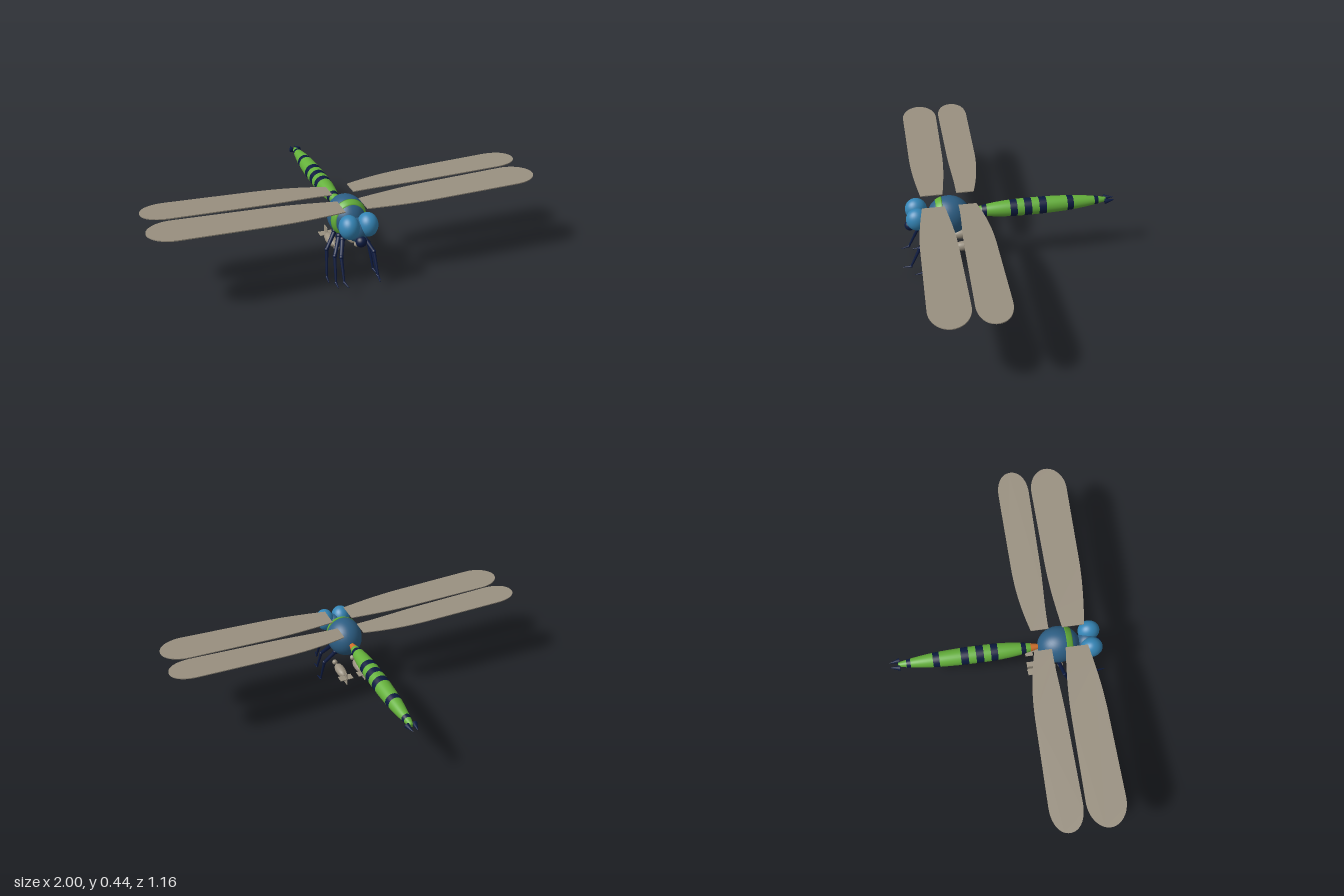
import * as THREE from 'three';

const mat = (name, color) => {
  const m = new THREE.MeshStandardMaterial({ color });
  m.name = name;
  return m;
};

export function createModel() {
  const model = new THREE.Group();
  model.name = 'dragonfly';
  const blue = mat('body blue', 0x2d5f85);
  const eyeBlue = mat('eye blue', 0x3484b4);
  const green = mat('band green', 0x64b03a);
  const navy = mat('dark navy', 0x0c1a40);
  const orange = mat('waist orange', 0xd0702c);
  const taupe = mat('wing taupe', 0x999080);

  const add = (name, geo, material, parent = model) => {
    const m = new THREE.Mesh(geo, material);
    m.name = name;
    parent.add(m);
    return m;
  };
  const ball = (name, material, x, y, z, rx, ry = rx, rz = rx, parent = model) =>
    add(name, new THREE.SphereGeometry(1, 32, 24).scale(rx, ry, rz).translate(x, y, z), material, parent);
  // Surface of revolution along z; points are [radius, z] with z ascending
  const latheZ = (pts, sides = 32) =>
    new THREE.LatheGeometry(pts.map(([r, z]) => new THREE.Vector2(r, z)), sides).rotateX(Math.PI / 2);
  // Tapered limb between two points
  const limb = (name, a, b, ra, rb, parent) => {
    const d = b.clone().sub(a);
    const m = add(name, new THREE.CylinderGeometry(rb, ra, d.length(), 10), navy, parent);
    m.position.copy(a).addScaledVector(d, 0.5);
    m.quaternion.setFromUnitVectors(new THREE.Vector3(0, 1, 0), d.normalize());
  };

  // Thorax with a green collar
  ball('thorax', blue, 0, 0.316, 0.32, 0.096, 0.105, 0.113);
  const collar = [];
  for (let i = 0; i <= 6; i++) {
    const z = 0.033 + (0.034 * i) / 6;
    collar.push([1.025 * Math.sqrt(1 - (z / 0.113) ** 2), z]);
  }
  add('thoraxBand', latheZ([[0.8, 0.033], ...collar, [0.75, 0.067]], 40)
    .scale(0.096, 0.105, 1).translate(0, 0.316, 0.32), green);

  // Head
  ball('head', blue, 0, 0.308, 0.473, 0.056, 0.06, 0.056);
  ball('mouth', navy, 0, 0.271, 0.527, 0.028);
  for (const s of [1, -1]) ball(s > 0 ? 'leftEye' : 'rightEye', eyeBlue, s * 0.048, 0.338, 0.488, 0.051, 0.061, 0.058);

  // Abdomen: one smooth profile cut into coloured rings
  const abdomen = new THREE.Group();
  abdomen.name = 'abdomen';
  abdomen.position.y = 0.323;
  model.add(abdomen);
  const profile = new THREE.SplineCurve([
    [-0.535, 0.010], [-0.47, 0.023], [-0.36, 0.037], [-0.24, 0.044], [-0.12, 0.046],
    [0, 0.044], [0.1, 0.035], [0.17, 0.022], [0.225, 0.010],
  ].map(p => new THREE.Vector2(...p))).getPoints(160);
  const radius = z => {
    const i = Math.max(1, profile.findIndex(p => p.x >= z));
    const a = profile[i - 1], b = profile[i];
    return THREE.MathUtils.lerp(a.y, b.y, (z - a.x) / (b.x - a.x));
  };
  const cuts = [-0.53, -0.487, -0.465, -0.347, -0.313, -0.2, -0.16, -0.12, -0.08, -0.042, -0.005, 0.12, 0.145, 0.17, 0.22];
  for (let i = 0; i < cuts.length - 1; i++) {
    const pts = [];
    for (let k = 0; k <= 6; k++) {
      const z = THREE.MathUtils.lerp(cuts[i], cuts[i + 1], k / 6);
      pts.push([radius(z), z]);
    }
    if (i === 0) pts.unshift([0.0001, cuts[0]]);
    add('abdomenRing' + (i + 1), latheZ(pts), i === cuts.length - 2 ? orange : i % 2 ? navy : green, abdomen);
  }
  // Pair of tail spikes, tips leaning inward
  for (const s of [1, -1]) {
    const spike = add('tailSpike', latheZ([[0.0001, -0.056], [0.015, 0], [0.0001, 0.001]], 16), navy, abdomen);
    spike.position.set(s * 0.02, 0, -0.522);
    spike.rotation.y = s * 0.13;
  }

  // Wings: thin blades that widen from root to rounded tip
  const wing = (name, s, y, rootA, rootB, edgeA, edgeB) => {
    const mid = (edgeA + edgeB) / 2;
    const sh = new THREE.Shape();
    sh.moveTo(0, rootA);
    sh.bezierCurveTo(s * 0.14, edgeA + 0.02, s * 0.25, edgeA + 0.006, s * 0.4, edgeA + 0.005);
    sh.lineTo(s * 0.81, edgeA);
    sh.bezierCurveTo(s * 0.89, edgeA, s * 0.943, mid - 0.05, s * 0.943, mid);
    sh.bezierCurveTo(s * 0.943, mid + 0.05, s * 0.89, edgeB, s * 0.81, edgeB);
    sh.lineTo(s * 0.4, edgeB - 0.005);
    sh.bezierCurveTo(s * 0.25, edgeB - 0.006, s * 0.14, edgeB - 0.02, 0, rootB);
    const geo = new THREE.ExtrudeGeometry(sh, { depth: 0.005, bevelEnabled: false, curveSegments: 16 }).rotateX(Math.PI / 2);
    const m = add(name, geo, taupe);
    m.position.set(s * 0.057, y, 0);
    m.rotation.z = s * 0.027;
  };
  for (const s of [1, -1]) {
    const side = s > 0 ? 'left' : 'right';
    wing(side + 'FrontWing', s, 0.41, 0.343, 0.46, 0.304, 0.501);
    wing(side + 'HindWing', s, 0.413, 0.178, 0.271, 0.121, 0.289);
  }

  // Legs: hip, knee, ankle, toe as [x, y, z]
  const legs = {
    Front: [[0.055, 0.236, 0.418], [0.086, 0.177, 0.487], [0.09, 0.065, 0.54], [0.082, 0.058, 0.583]],
    Middle: [[0.058, 0.234, 0.375], [0.1, 0.155, 0.431], [0.111, 0.031, 0.48], [0.113, 0.025, 0.521]],
    Hind: [[0.058, 0.23, 0.313], [0.113, 0.15, 0.347], [0.126, 0.011, 0.387], [0.13, 0.004, 0.43]],
  };
  for (const s of [1, -1]) for (const [key, joints] of Object.entries(legs)) {
    const leg = new THREE.Group();
    leg.name = (s > 0 ? 'left' : 'right') + key + 'Leg';
    model.add(leg);
    const [hip, knee, ankle, toe] = joints.map(([x, y, z]) => new THREE.Vector3(s * x, y, z));
    ball('hip', navy, ...hip, 0.015, 0.015, 0.015, leg);
    limb('thigh', hip, knee, 0.012, 0.009, leg);
    ball('knee', navy, ...knee, 0.011, 0.011, 0.011, leg);
    limb('shin', knee, ankle, 0.009, 0.005, leg);
    ball('ankle', navy, ...ankle, 0.007, 0.007, 0.007, leg);
    limb('foot', ankle, toe, 0.006, 0.002, leg);
  }

  // Finned pods carried below the thorax
  for (const s of [1, -1]) {
    const pod = new THREE.Group();
    pod.name = s > 0 ? 'leftPod' : 'rightPod';
    pod.position.set(s * 0.055, 0.142, 0);
    model.add(pod);
    add('podBody', latheZ([[0.0001, 0.188], [0.012, 0.188], [0.021, 0.207], [0.026, 0.23], [0.026, 0.265],
      [0.021, 0.288], [0.01, 0.304], [0.0001, 0.31]], 24), taupe, pod);
    ball('podNose', taupe, 0, 0, 0.334, 0.015, 0.015, 0.015, pod);
    add('verticalFin', new THREE.BoxGeometry(0.004, 0.075, 0.042).translate(0, 0, 0.173), taupe, pod);
    add('horizontalFin', new THREE.BoxGeometry(0.075, 0.004, 0.042).translate(0, 0, 0.173), taupe, pod);
  }
  return model;
}
